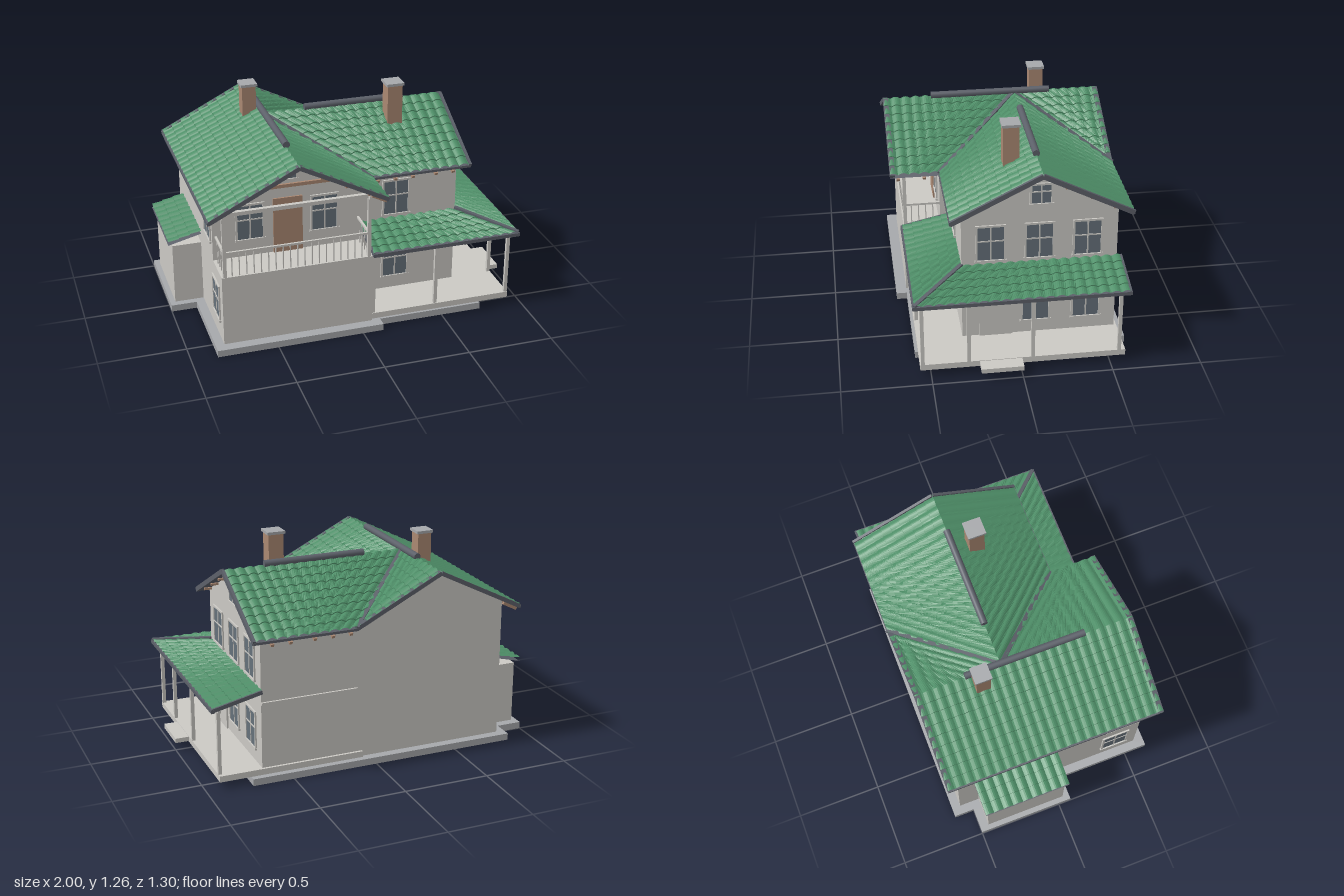
import * as THREE from 'three';

const material = (name, color, extra = {}) => {
  const m = new THREE.MeshStandardMaterial({ color, ...extra });
  m.name = name;
  return m;
};

export function createModel() {
  const house = new THREE.Group();
  house.name = 'house';
  const wall = material('plaster', 0xcbc9c4);
  const tile = material('green tile', 0x4f9069, { side: THREE.DoubleSide });
  const slate = material('slate trim', 0x5c6069, { side: THREE.DoubleSide });
  const brown = material('brown wood and brick', 0xaa8872);
  const stone = material('grey stone', 0xa6a8ab);
  const glass = material('window glass', 0x65707a);

  const add = (name, geo, mat, parent = house) => {
    const m = new THREE.Mesh(geo, mat);
    m.name = name;
    parent.add(m);
    return m;
  };
  // Box given by its limits on each axis
  const box = (name, x0, x1, y0, y1, z0, z1, mat, parent) => {
    const m = add(name, new THREE.BoxGeometry(x1 - x0, y1 - y0, z1 - z0), mat, parent);
    m.position.set((x0 + x1) / 2, (y0 + y1) / 2, (z0 + z1) / 2);
    return m;
  };
  // Rectangular bar running between two points
  const bar = (name, a, b, w, h, mat) => {
    const p = new THREE.Vector3(...a), q = new THREE.Vector3(...b);
    const m = add(name, new THREE.BoxGeometry(w, h, p.distanceTo(q)), mat);
    m.position.copy(p).lerp(q, 0.5);
    m.lookAt(q);
    return m;
  };

  // Foundations and porch floor
  box('wingFoundation', -0.85, 0.12, 0, 0.04, -0.62, 0.635, stone);
  box('mainFoundation', 0.12, 0.74, 0, 0.04, -0.62, 0.575, stone);
  box('annexFoundation', -1, -0.85, 0, 0.04, -0.5, 0.075, stone);
  box('porchFloor', 0.07, 0.92, 0.04, 0.075, -0.585, 0.56, wall);
  box('porchStep', 0.92, 1, 0.045, 0.072, -0.005, 0.23, wall);

  // Walls with gables
  const RX = -0.37, RZ = -0.14, TOP = 1.093, SLOPE = 0.505, D = 0.505;
  const gable = (l, r, mid, y0, depth) => {
    const y = h => TOP - 0.015 - SLOPE * Math.abs(h - mid);
    const s = new THREE.Shape([[l, y0], [r, y0], [r, y(r)], [mid, y(mid)], [l, y(l)]]
      .map(p => new THREE.Vector2(...p)));
    return new THREE.ExtrudeGeometry(s, { depth, bevelEnabled: false });
  };
  box('wingLowerWall', -0.8, 0.07, 0.04, 0.46, -0.57, 0.575, wall);
  add('wingUpperWall', gable(-0.8, 0.07, RX, 0.46, 0.93), wall).position.z = -0.57;
  const main = add('mainWall', gable(-0.3, 0.57, -RZ, 0.04, 0.67), wall);
  main.rotation.y = Math.PI / 2;
  box('annexWall', -0.97, -0.8, 0.04, 0.41, -0.45, 0.035, wall);
  box('backLedge', 0.1, 0.67, 0.45, 0.465, -0.582, -0.57, wall);

  // Roof sheet: u runs along the ridge, d down the slope; a(d) and b(d) bound u
  const sheet = (name, r, tiled) => {
    const rows = tiled ? Math.max(2, Math.round(r.D / 0.056)) : 1;
    const long = Math.max(r.b(0) - r.a(0), r.b(r.D) - r.a(r.D));
    const cols = tiled ? Math.ceil(long / 0.01) : 1;
    const pos = [], idx = [];
    for (let i = 0; i < rows * 2; i++) {
      const d = r.D * (Math.floor(i / 2) + i % 2) / rows;
      for (let j = 0; j <= cols; j++) {
        const u = THREE.MathUtils.lerp(r.a(d), r.b(d), j / cols);
        const lift = tiled ? 0.012 * Math.abs(Math.sin(Math.PI * u / 0.06)) + 0.006 * (i % 2) : -0.012;
        const y = r.y - r.slope * d + lift, c = r.at + r.sign * d;
        if (r.axis === 'x') pos.push(u, y, c); else pos.push(c, y, u);
      }
    }
    const flip = (r.axis === 'x') === (r.sign > 0);
    for (let i = 0; i < rows * 2 - 1; i++) for (let j = 0; j < cols; j++) {
      const p = i * (cols + 1) + j, q = p + cols + 1;
      if (flip) idx.push(p, q, p + 1, p + 1, q, q + 1);
      else idx.push(p, p + 1, q, p + 1, q + 1, q);
    }
    let g = new THREE.BufferGeometry();
    g.setAttribute('position', new THREE.Float32BufferAttribute(pos, 3));
    g.setIndex(idx);
    g = g.toNonIndexed();
    g.computeVertexNormals();
    add(name, g, tiled ? tile : slate);
  };
  const roof = (name, axis, at, sign, y, slope, depth, a, b) => {
    const r = { axis, at, sign, y, slope, D: depth, a, b };
    sheet(name + 'Tiles', r, true);
    sheet(name + 'Underside', r, false);
  };
  const k = v => () => v;
  roof('wingRoofLeft', 'z', RX, -1, TOP, SLOPE, D, k(-0.645), k(0.645));
  roof('wingRoofFront', 'z', RX, 1, TOP, SLOPE, D, d => RZ + d, k(0.645));
  roof('wingRoofBack', 'z', RX, 1, TOP, SLOPE, D, k(-0.645), d => RZ - d);
  for (const s of [1, -1]) roof('mainRoof', 'x', RZ, s, TOP, SLOPE, D, d => RX + d, k(0.73));
  roof('porchRoofFront', 'x', 0.3, 1, 0.535, 0.23, 0.285, k(0.07), d => 0.67 + d);
  roof('porchRoofSide', 'z', 0.67, 1, 0.535, 0.23, 0.285, k(-0.595), d => 0.3 + d);
  roof('annexRoof', 'z', -0.8, -1, 0.485, 0.25, 0.195, k(-0.47), k(0.05));

  // Verges, valleys, eaves and ridge caps
  const eave = TOP - SLOPE * D;
  for (const s of [1, -1]) {
    for (const z of [0.632, -0.632])
      bar('wingVerge', [RX, TOP, z], [RX + s * D, eave, z], 0.03, 0.024, slate);
    bar('mainVerge', [0.728, TOP, RZ], [0.728, eave, RZ + s * D], 0.016, 0.028, slate);
    bar('valley', [RX, TOP + 0.006, RZ], [RX + D, eave + 0.006, RZ + s * D], 0.024, 0.02, slate);
    bar('mainEave', [RX + D, eave - 0.003, RZ + s * D], [0.73, eave - 0.003, RZ + s * D], 0.008, 0.014, slate);
  }
  bar('wingEave', [RX - D, eave - 0.003, -0.645], [RX - D, eave - 0.003, 0.645], 0.014, 0.014, slate);
  const cap = (len, x, z) => {
    const m = add('ridgeCap', new THREE.CylinderGeometry(0.02, 0.02, len, 16), slate);
    m.position.set(x, 1.108, z);
    return m;
  };
  cap(0.71, -0.365, 0.005).rotation.x = Math.PI / 2;
  cap(0.605, 0.1825, RZ).rotation.z = Math.PI / 2;

  // Porch roof edging, hip and gutters
  box('porchGutterFront', 0.07, 0.96, 0.457, 0.478, 0.578, 0.595, slate);
  box('porchGutterSide', 0.945, 0.962, 0.457, 0.478, -0.6, 0.595, slate);
  bar('porchHip', [0.67, 0.545, 0.3], [0.955, 0.48, 0.585], 0.022, 0.018, slate);
  bar('porchVergeBack', [0.67, 0.535, -0.593], [0.955, 0.47, -0.593], 0.012, 0.022, slate);
  bar('porchVergeLeft', [0.075, 0.535, 0.3], [0.075, 0.47, 0.585], 0.012, 0.022, slate);

  // Porch posts and beams
  const post = (x, z, y0, y1) => box('post', x - 0.01, x + 0.01, y0, y1, z - 0.01, z + 0.01, wall);
  for (const [x, z] of [[0.085, 0.545], [0.465, 0.545], [0.91, 0.545], [0.91, 0.29], [0.91, -0.065], [0.91, -0.55]])
    post(x, z, 0.075, 0.46);
  box('porchBeamFront', 0.07, 0.92, 0.445, 0.46, 0.537, 0.553, wall);
  box('porchBeamSide', 0.902, 0.918, 0.445, 0.46, -0.58, 0.553, wall);

  // Balcony posts, beams and railing
  for (const x of [-0.78, 0.05]) {
    post(x, 0.563, 0.46, 0.84);
    box('balconySideBeam', x - 0.012, x + 0.012, 0.828, 0.85, 0.36, 0.6, wall);
    box('balconySideRail', x - 0.006, x + 0.006, 0.598, 0.61, 0.36, 0.57, wall);
    for (let z = 0.4; z < 0.55; z += 0.042) box('baluster', x - 0.003, x + 0.003, 0.46, 0.6, z - 0.003, z + 0.003, wall);
  }
  box('balconyFrontBeam', -0.79, 0.06, 0.828, 0.85, 0.55, 0.574, wall);
  box('balconyFrontRail', -0.78, 0.05, 0.598, 0.61, 0.557, 0.569, wall);
  for (let i = 1; i < 20; i++) {
    const x = -0.78 + i * 0.0415;
    box('baluster', x - 0.003, x + 0.003, 0.46, 0.6, 0.56, 0.566, wall);
  }
  box('gableTrim', -0.79, 0.06, 0.858, 0.878, 0.36, 0.374, brown);

  // Rafter tails below the eaves
  const under = d => TOP - SLOPE * d - 0.026;
  for (const s of [1, -1]) for (const x of [0.17, 0.275, 0.38, 0.52, 0.625])
    bar('rafter', [x, under(0.42), RZ + s * 0.42], [x, under(0.505), RZ + s * 0.505], 0.018, 0.018, brown);
  for (let i = 0; i < 9; i++) {
    const z = -0.6 + i * 0.15;
    bar('rafter', [RX - 0.42, under(0.42), z], [RX - 0.505, under(0.505), z], 0.018, 0.018, brown);
    if (z > 0.4) bar('rafter', [RX + 0.42, under(0.42), z], [RX + 0.505, under(0.505), z], 0.018, 0.018, brown);
  }
  // Purlin ends under the gables
  for (const s of [1, -1]) for (const d of [0.13, 0.27, 0.4]) {
    const y = under(d) + 0.004;
    box('purlin', 0.66, 0.715, y - 0.006, y + 0.006, RZ + s * d - 0.006, RZ + s * d + 0.006, brown);
    box('purlin', RX + s * d - 0.006, RX + s * d + 0.006, y - 0.006, y + 0.006, 0.35, 0.62, brown);
  }

  // Windows, built facing +z and turned to their wall
  const window_ = (x, y, z, turn, w = 0.145, h = 0.205) => {
    const g = new THREE.Group();
    g.name = 'window';
    g.position.set(x, y, z);
    g.rotation.y = turn;
    house.add(g);
    const a = w / 2, b = h / 2, f = 0.012;
    box('pane', -a, a, -b, b, -0.001, 0.004, glass, g);
    for (const s of [-1, 1])
      box('frameSide', s * (a + f / 2) - f / 2, s * (a + f / 2) + f / 2, -b, b, 0, 0.009, wall, g);
    box('frameTop', -a - f, a + f, b, b + f, 0, 0.009, wall, g);
    box('sill', -a - f - 0.004, a + f + 0.004, -b - f, -b, 0, 0.012, wall, g);
    box('mullion', -0.004, 0.004, -b, b, 0, 0.007, wall, g);
    box('crossbar', -a, a, 0.012, 0.02, 0, 0.007, wall, g);
  };
  const E = Math.PI / 2;
  for (const z of [0.138, -0.133, -0.402]) window_(0.67, 0.67, z, E);
  for (const z of [-0.115, -0.402]) window_(0.67, 0.262, z, E);
  window_(0.67, 0.958, RZ, E, 0.105, 0.11);
  for (const y of [0.67, 0.262]) window_(0.3, y, 0.3, 0);
  for (const x of [-0.583, -0.15]) window_(x, 0.67, 0.36, 0);
  window_(-0.367, 0.958, 0.36, 0, 0.105, 0.1);
  window_(-0.8, 0.67, 0.25, -E);
  window_(-0.8, 0.262, 0.43, -E);

  // Doors
  box('balconyDoor', -0.45, -0.28, 0.46, 0.795, 0.355, 0.37, brown);
  box('porchDoor', 0.665, 0.68, 0.075, 0.42, 0.015, 0.205, wall);

  // Chimneys
  const chimney = (x, z, r, y0, y1) => {
    box('chimney', x - r, x + r, y0, y1, z - r, z + r, brown);
    box('chimneyCap', x - r - 0.008, x + r + 0.008, y1, y1 + 0.016, z - r - 0.008, z + r + 0.008, stone);
  };
  chimney(0.38, -0.01, 0.045, 0.98, 1.245);
  chimney(-0.425, -0.275, 0.041, 1.0, 1.232);

  return house;
}
